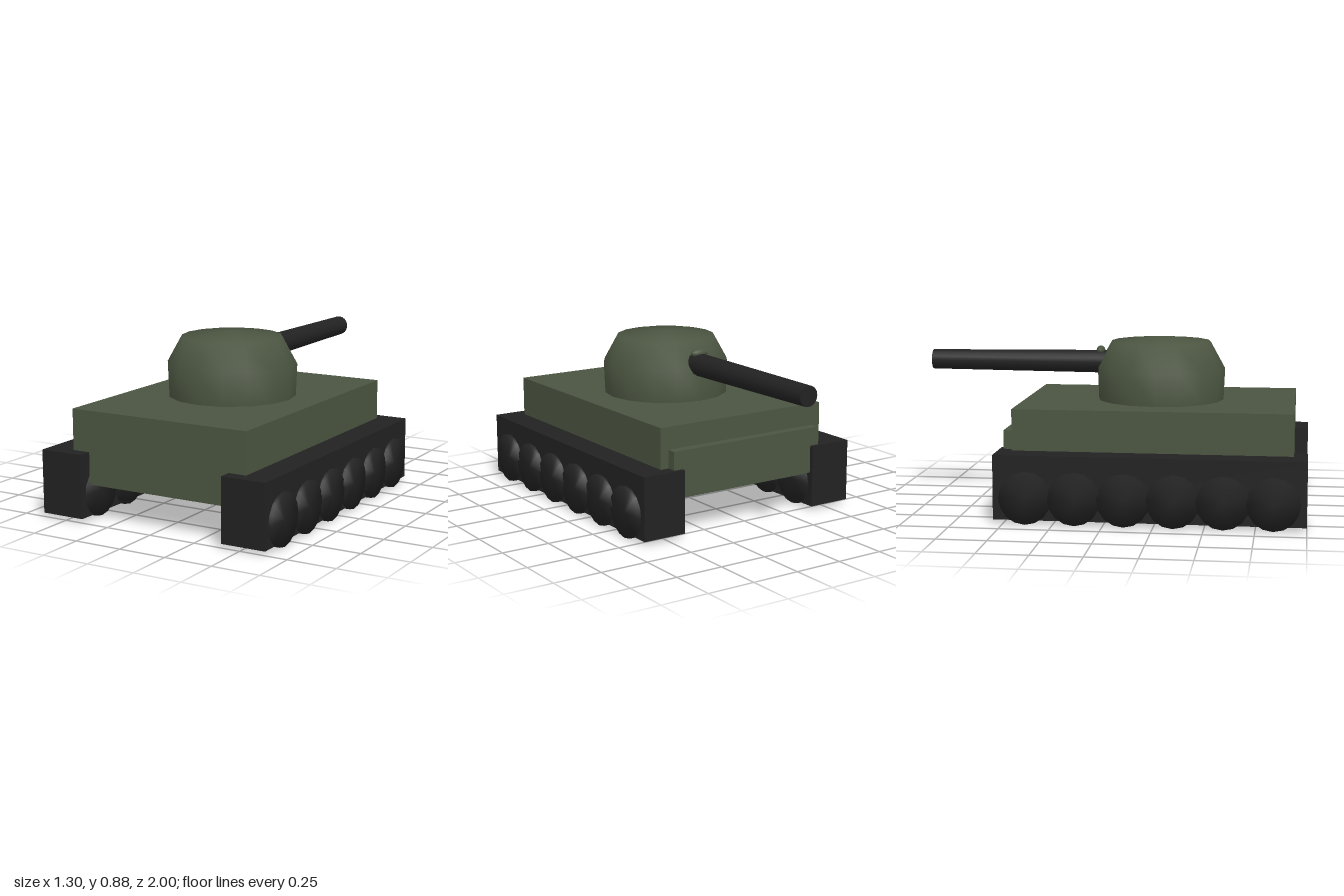
import * as THREE from 'three';
import { mergeVertices } from 'three/addons/utils/BufferGeometryUtils.js';

const green = new THREE.MeshStandardMaterial({ color: 0x4b5541 });
green.name = 'armourGreen';
const black = new THREE.MeshStandardMaterial({ color: 0x222222 });
black.name = 'trackBlack';

function add(parent, name, geometry, material, x, y, z) {
  const mesh = new THREE.Mesh(geometry, material);
  mesh.name = name;
  mesh.position.set(x, y, z);
  parent.add(mesh);
  return mesh;
}

// Shares every corner so that shading rolls smoothly over the rims
function softened(geometry) {
  geometry.deleteAttribute('uv');
  geometry.deleteAttribute('normal');
  const merged = mergeVertices(geometry, 1e-4);
  merged.computeVertexNormals();
  return merged;
}

export function createModel() {
  const tank = new THREE.Group();
  tank.name = 'tank';

  // Hull and the plate on its gun end
  add(tank, 'hull', new THREE.BoxGeometry(0.99, 0.375, 1.41), green, 0, 0.3675, 0.225);
  add(tank, 'hullPlate', new THREE.BoxGeometry(0.9, 0.24, 0.1), green, 0, 0.32, -0.48);

  // Domed turret
  const profile = [[0.32, 0.5], [0.33, 0.555], [0.337, 0.72], [0.26, 0.86], [0, 0.885]]
    .map(([r, y]) => new THREE.Vector2(r, y));
  add(tank, 'turret', softened(new THREE.LatheGeometry(profile, 16)), green, 0, 0, 0.225);

  // Tapered gun barrel with a small bead above its root
  const barrel = new THREE.CylinderGeometry(0.052, 0.061, 1.02, 16).rotateX(-Math.PI / 2);
  add(tank, 'gunBarrel', barrel, black, 0, 0.747, -0.49);
  const bead = add(tank, 'barrelBead', new THREE.SphereGeometry(1, 16, 10), green, 0, 0.808, -0.095);
  bead.scale.set(0.05, 0.022, 0.022);

  // Tracks with six road wheels on each side
  const wheel = softened(new THREE.CylinderGeometry(0.1325, 0.1325, 0.251, 16).rotateZ(Math.PI / 2));
  for (const side of [1, -1]) {
    const track = new THREE.Group();
    track.name = side > 0 ? 'leftTrack' : 'rightTrack';
    tank.add(track);
    add(track, 'trackBlock', new THREE.BoxGeometry(0.235, 0.325, 1.55), black, side * 0.5175, 0.1825, 0.225);
    for (let i = 0; i < 6; i++) {
      add(track, 'roadWheel', wheel, black, side * 0.5235, 0.1325, 0.838 - i * 0.245);
    }
  }
  return tank;
}
